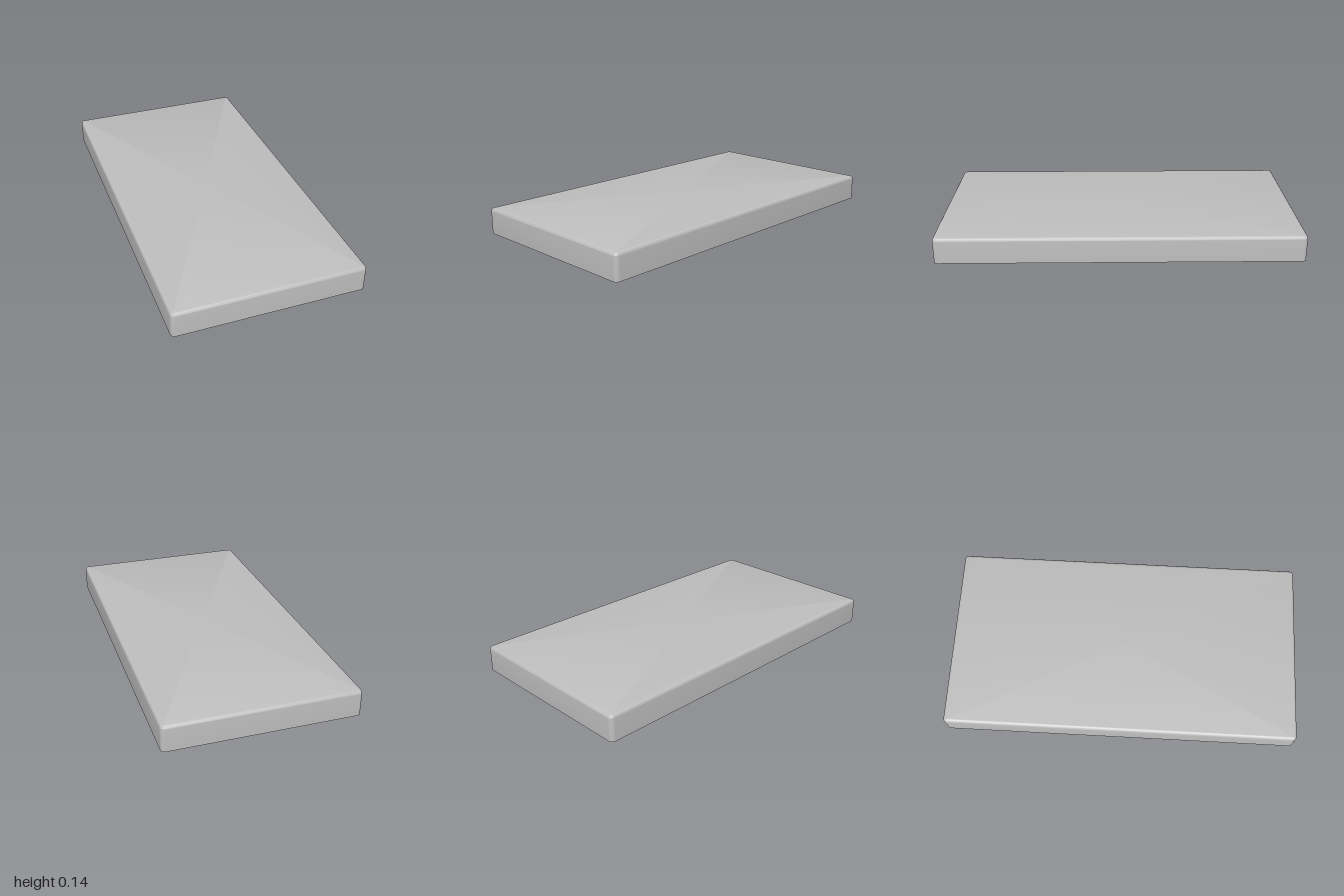
import * as THREE from 'three';
import { toCreasedNormals } from 'three/addons/utils/BufferGeometryUtils.js';

const W = 0.525, L = 1.0, H = 0.145;   // half width, half length, height
const WALL = 0.03, FILLET = 0.018, CORNER = 0.022;
const PANEL_Y = 0.093, POCKET_Y = 0.13;

// Rounded rectangle outline, inset from the outer footprint
function outline(inset) {
  const r = Math.max(CORNER - inset, 0.004) + (inset >= WALL ? 0.014 : 0);
  const a = W - inset - r, b = L - inset - r, pts = [];
  [[1, 1], [-1, 1], [-1, -1], [1, -1]].forEach(([sx, sz], q) => {
    for (let i = 0; i <= 6; i++) {
      const t = (q + i / 6) * Math.PI / 2;
      pts.push(new THREE.Vector2(sx * a + r * Math.cos(t), sz * b + r * Math.sin(t)));
    }
  });
  return pts;
}

// Skin through stacked outlines, closed with a flat top
function shellGeometry() {
  const sections = [[WALL, PANEL_Y], [WALL, 0], [0, 0]];
  for (let i = 0; i <= 6; i++) {
    const t = i / 6 * Math.PI / 2;
    sections.push([FILLET * (1 - Math.cos(t)), H - FILLET + FILLET * Math.sin(t)]);
  }
  const pos = [], idx = [];
  let n = 0;
  sections.forEach(([inset, y], s) => {
    const ring = outline(inset);
    n = ring.length;
    ring.forEach((p, i) => {
      pos.push(p.x, y, p.y);
      if (s === 0) return;
      const j = (i + 1) % n, a = (s - 1) * n, b = s * n;
      idx.push(a + i, b + i, b + j, a + i, b + j, a + j);
    });
  });
  const last = (sections.length - 1) * n, centre = pos.length / 3;
  pos.push(0, H, 0);
  for (let i = 0; i < n; i++) idx.push(last + i, centre, last + (i + 1) % n);
  const g = new THREE.BufferGeometry();
  g.setAttribute('position', new THREE.Float32BufferAttribute(pos, 3));
  g.setIndex(idx);
  return toCreasedNormals(g, 0.6);
}

// Cut a polygon where sign * axis value exceeds the limit
function clip(poly, axis, sign, limit) {
  const out = [];
  poly.forEach((p, i) => {
    const q = poly[(i + 1) % poly.length];
    const dp = limit - sign * p[axis], dq = limit - sign * q[axis];
    if (dp >= 0) out.push(p);
    if (dp * dq < 0) out.push(p.clone().lerp(q, dp / (dp - dq)));
  });
  return out;
}

// Honeycomb pockets trimmed to a rectangle
function honeycomb(pitch, radius, maxX, maxZ) {
  const holes = [];
  for (let row = -10; row <= 10; row++) {
    const shift = row % 2 ? pitch / 2 : 0;
    for (let col = -5; col <= 5; col++) {
      let poly = [];
      for (let k = 0; k < 6; k++) {
        const t = (k + 0.5) * Math.PI / 3;
        poly.push(new THREE.Vector2(col * pitch + shift + radius * Math.cos(t),
          row * pitch * Math.sqrt(3) / 2 + radius * Math.sin(t)));
      }
      for (const s of [1, -1]) poly = clip(clip(poly, 'x', s, maxX), 'y', s, maxZ);
      if (poly.length > 2) holes.push(new THREE.Path(poly));
    }
  }
  return holes;
}

export function createModel() {
  const group = new THREE.Group();
  const grey = new THREE.MeshStandardMaterial({ color: 0xbfbfbf });
  grey.name = 'plain grey';
  const add = (name, geometry) => {
    const mesh = new THREE.Mesh(geometry, grey);
    mesh.name = name;
    group.add(mesh);
    return mesh;
  };

  add('coverShell', shellGeometry());

  // Underside panel with hexagonal pockets
  const shape = new THREE.Shape(outline(WALL));
  shape.holes = honeycomb(0.1, 0.044, 0.37, 0.83);
  const panel = new THREE.ExtrudeGeometry(shape, { depth: POCKET_Y - PANEL_Y, bevelEnabled: false });
  panel.rotateX(-Math.PI / 2);
  add('honeycombPanel', panel).position.y = PANEL_Y;

  // Closed ends of the pockets
  const ceiling = new THREE.PlaneGeometry(0.78, 1.7).rotateX(Math.PI / 2);
  add('pocketCeiling', ceiling).position.y = POCKET_Y;

  // Snap bumps on the inner long walls
  for (const side of [-1, 1]) {
    for (const z of [-0.615, 0.615]) {
      const bump = add('snapBump', new THREE.SphereGeometry(0.018, 20, 14));
      bump.scale.x = 0.7;
      bump.position.set(side * (W - WALL), 0.048, z);
    }
  }
  return group;
}
